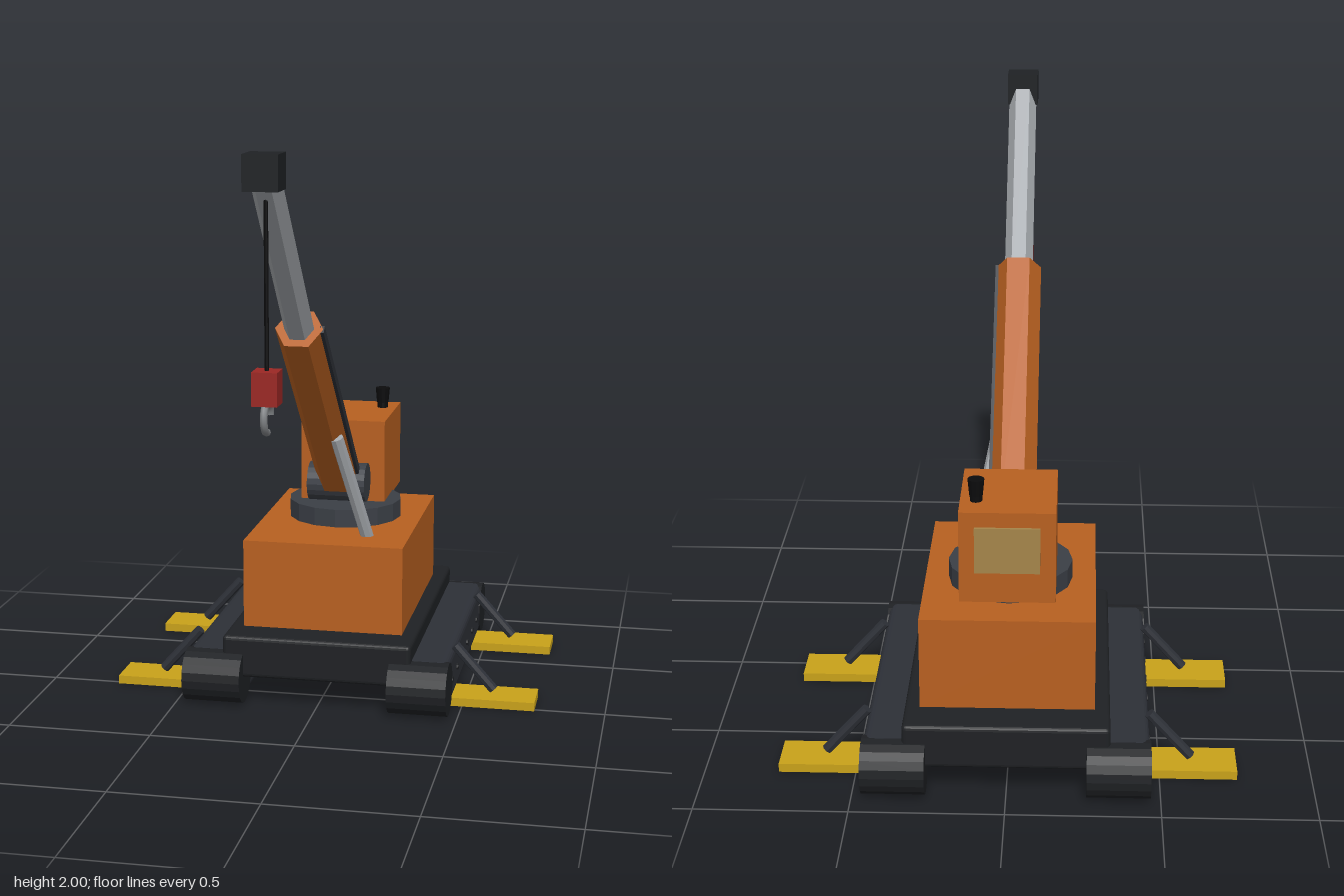
import * as THREE from 'three';
import { RoundedBoxGeometry } from 'three/addons/geometries/RoundedBoxGeometry.js';

const mat = (color, flatShading = true) => new THREE.MeshStandardMaterial({ color, flatShading });
const M = {
  orange: mat(0xb86020), black: mat(0x1f2124), slate: mat(0x2d3037), steel: mat(0x3b3f46),
  silver: mat(0xa4a8ac), yellow: mat(0xc9a21a), red: mat(0x9c2824), glass: mat(0xa5854a),
  hook: mat(0x808386, false), cable: mat(0x0c0c0d),
};
const V = (x, y, z) => new THREE.Vector3(x, y, z);

export function createModel() {
  const root = new THREE.Group();
  root.name = 'crawlerCrane';

  const add = (name, geo, material, parent = root) => {
    const mesh = new THREE.Mesh(geo, material);
    mesh.name = name;
    parent.add(mesh);
    return mesh;
  };
  // Box given by its min and max on each axis
  const box = (name, m, [x0, x1], [y0, y1], [z0, z1], parent, bevel = 0) => {
    const s = [x1 - x0, y1 - y0, z1 - z0];
    const geo = bevel ? new RoundedBoxGeometry(...s, 2, bevel) : new THREE.BoxGeometry(...s);
    const mesh = add(name, geo, m, parent);
    mesh.position.set((x0 + x1) / 2, (y0 + y1) / 2, (z0 + z1) / 2);
    return mesh;
  };
  // Prism or cylinder running from a to b
  const rod = (name, m, a, b, r, sides, parent, rTop = r) => {
    const geo = new THREE.CylinderGeometry(rTop, r, a.distanceTo(b), sides).rotateY(Math.PI / 2);
    const mesh = add(name, geo, m, parent);
    mesh.position.copy(a).add(b).multiplyScalar(0.5);
    mesh.quaternion.setFromUnitVectors(V(0, 1, 0), b.clone().sub(a).normalize());
    return mesh;
  };

  // Chassis and engine body
  box('chassis', M.black, [-0.335, 0.335], [0.1, 0.25], [-0.89, 0.145], root, 0.015);
  box('body', M.orange, [-0.285, 0.285], [0.25, 0.565], [-0.76, 0.02]);

  // Tracks and outriggers, one set per side
  for (const s of [1, -1]) {
    const side = new THREE.Group();
    side.name = s > 0 ? 'leftUndercarriage' : 'rightUndercarriage';
    root.add(side);
    const span = (a, b) => (s > 0 ? [a, b] : [-b, -a]);
    box('trackFrame', M.slate, span(0.265, 0.463), [0.015, 0.19], [-0.885, 0.135], side, 0.025);
    for (const z of [0.117, -0.865])
      rod('trackDrum', M.black, V(s * 0.26, 0.096, z), V(s * 0.467, 0.096, z), 0.094, 20, side);
    for (let i = 0; i < 6; i++) {
      const z = 0.02 - i * 0.14;
      rod('trackBolt', M.black, V(s * 0.45, 0.1, z), V(s * 0.47, 0.1, z), 0.012, 8, side);
    }
    for (const z of [-0.06, -0.687]) {
      box('outriggerPad', M.yellow, span(0.455, 0.755), [0, 0.03], [z - 0.076, z + 0.076], side);
      rod('outriggerLeg', M.slate, V(s * 0.465, 0.2, z), V(s * 0.603, 0.045, z), 0.018, 8, side);
    }
  }

  // Turntable, cab and exhaust
  rod('turntable', M.steel, V(0, 0.56, -0.425), V(0, 0.63, -0.425), 0.207, 16);
  box('cab', M.orange, [-0.155, 0.155], [0.62, 0.93], [-0.735, -0.37]);
  box('cabWindow', M.glass, [-0.105, 0.105], [0.725, 0.88], [-0.745, -0.73]);
  rod('exhaustPipe', M.cable, V(0.103, 0.925, -0.635), V(0.103, 0.96, -0.635), 0.02, 12);
  rod('exhaustCap', M.cable, V(0.103, 0.95, -0.635), V(0.103, 1.005, -0.635), 0.022, 12, root, 0.027);

  // Telescoping boom
  const foot = V(0, 0.725, -0.295), joint = V(0, 1.395, 0.405), tip = V(0, 1.945, 0.905);
  rod('boomPivot', M.steel, V(-0.105, 0.72, -0.29), V(0.105, 0.72, -0.29), 0.07, 20);
  rod('lowerBoom', M.orange, foot, joint, 0.08, 6);
  rod('upperBoom', M.silver, V(0, 1.34, 0.355), tip, 0.05, 6);
  box('boomHead', M.black, [-0.055, 0.055], [1.89, 2], [0.85, 0.96]);
  const rail = add('boomRail', new THREE.BoxGeometry(0.016, foot.distanceTo(joint), 0.028), M.slate);
  rail.position.copy(foot).add(joint).multiplyScalar(0.5).setX(0.075);
  rail.quaternion.setFromUnitVectors(V(0, 1, 0), joint.clone().sub(foot).normalize());
  rod('liftCylinder', M.silver, V(0.135, 0.555, -0.135), V(0.05, 0.95, 0.015), 0.024, 8);

  // Cable, hook block and hook
  rod('cable', M.cable, V(0, 1.34, 0.88), V(0, 1.9, 0.88), 0.007, 8);
  box('hookBlock', M.red, [-0.04, 0.04], [1.24, 1.345], [0.84, 0.92]);
  const hook = add('hook', new THREE.TorusGeometry(0.046, 0.012, 8, 24, Math.PI * 1.5), M.hook);
  hook.rotation.y = Math.PI / 2;
  hook.position.set(0, 1.2, 0.88);

  return root;
}
